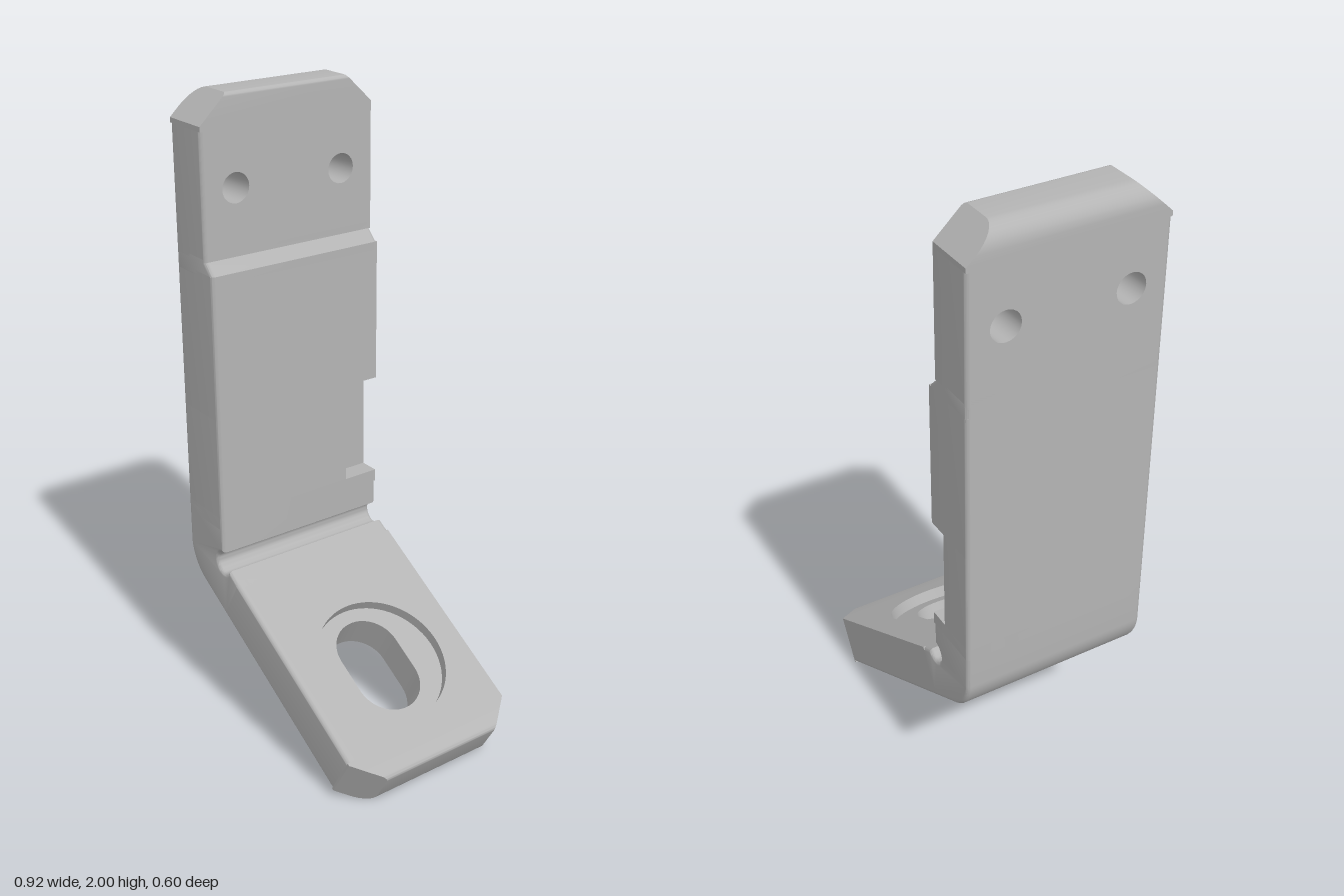
import * as THREE from 'three';
import { toCreasedNormals } from 'three/addons/utils/BufferGeometryUtils.js';
import { ConvexGeometry } from 'three/addons/geometries/ConvexGeometry.js';

const HALF = 0.3;                       // half width of the bracket
const R = 0.012;                        // small edge rounding
const BACK = -0.46, FRONT = -0.265, THIN = -0.3;   // upright faces (x)
const UNDER = 0.182, TOP = 0.34, END = 0.343;      // foot faces in its tilted frame
const TILT = -Math.PI / 6;

// Closed outline; the third value of a point is its rounding length
function outline(pts) {
  const s = new THREE.Shape();
  const n = pts.length;
  pts.forEach(([x, y, r = 0], i) => {
    const toward = ([px, py], d) => {
      const l = Math.hypot(px - x, py - y);
      return [x + (px - x) * d / l, y + (py - y) * d / l];
    };
    const prev = pts[(i + n - 1) % n], next = pts[(i + 1) % n];
    const a = toward(prev, r), b = toward(next, r);
    if (i === 0) s.moveTo(...a); else s.lineTo(...a);
    if (r) s.bezierCurveTo(...toward(prev, r * 0.45), ...toward(next, r * 0.45), ...b);
  });
  s.closePath();
  return s;
}

const extrude = (shape, depth, extra = {}) => new THREE.ExtrudeGeometry(shape,
  { depth, bevelEnabled: false, curveSegments: 12, ...extra });

// Side profile swept across the full width with rounded rims
const across = (shape) => extrude(shape, 2 * (HALF - R), {
  bevelEnabled: true, bevelThickness: R, bevelSize: R, bevelOffset: -R, bevelSegments: 4,
}).translate(0, 0, -HALF + R);

// Outline in (x, -z) swept along y
const upward = (shape, y0, y1) => extrude(shape, y1 - y0).rotateX(-Math.PI / 2).translate(0, y0, 0);

// Outline in (-z, y) swept along x
const sideways = (shape, x0, x1) => extrude(shape, x1 - x0).rotateY(Math.PI / 2).translate(x0, 0, 0);

const rect = (a0, b0, a1, b1) => outline([[a0, b0], [a1, b0], [a1, b1], [a0, b1]]);

function circle(x, y, r) {
  const p = new THREE.Path();
  p.absarc(x, y, r, 0, Math.PI * 2, true);
  return p;
}

// End block with clipped corners; axis is the direction it points in
function clippedEnd(pts, axis, end, kinks) {
  const profile = outline(pts).getPoints(8).map((p) => [p.x, p.y]).concat(kinks);
  const points = [];
  for (const p of profile) {
    const w = Math.min(HALF, 0.21 + (end - p[axis]) * (0.09 / 0.085));
    points.push(new THREE.Vector3(p[0], p[1], w), new THREE.Vector3(p[0], p[1], -w));
  }
  return new ConvexGeometry(points);
}

export function createModel() {
  const steel = new THREE.MeshStandardMaterial({ color: 0xb4b4b4 });
  steel.name = 'plain grey metal';
  const model = new THREE.Group();
  model.name = 'angledBracket';
  const foot = new THREE.Group();
  foot.name = 'foot';
  foot.rotation.z = TILT;
  model.add(foot);

  const add = (parent, name, geometry) => {
    const mesh = new THREE.Mesh(toCreasedNormals(geometry, 0.5), steel);
    mesh.name = name;
    parent.add(mesh);
  };
  const c = Math.cos(TILT), s = Math.sin(TILT);
  const fromFoot = (u, v) => [u * c - v * s, u * s + v * c];

  // Bend with the round relief groove in its inner corner
  const cornerY = (TOP - 0.5 * FRONT) / c;
  const outerY = (UNDER - 0.5 * BACK) / c;
  const groove = [];
  for (let i = 0; i <= 20; i++) {
    const a = Math.PI / 2 + (i / 20) * Math.PI * 4 / 3;
    groove.push([FRONT + 0.035 * Math.cos(a), cornerY + 0.035 * Math.sin(a)]);
  }
  add(model, 'bend', across(outline([
    [BACK, 0.7], [BACK, outerY, 0.08], fromFoot(-0.4, UNDER), fromFoot(-0.4, TOP),
    ...groove.reverse(), [FRONT, 0.7],
  ])));

  // Upright: solid section, and the section with the side notch
  const section = [[BACK, -HALF, R], [FRONT, -HALF, R], [FRONT, HALF], [BACK, HALF, R]];
  add(model, 'uprightBody', upward(outline(section), 1.03, 1.485));
  add(model, 'uprightBase', upward(outline(section), 0.66, 0.7));
  add(model, 'notchedBody', upward(outline([
    [BACK, -HALF, R], [FRONT, -HALF, R], [FRONT, 0.18], [-0.33, 0.18], [-0.33, HALF], [BACK, HALF, R],
  ]), 0.7, 1.03));

  // Sloped step to the thinner top
  add(model, 'step', across(outline([
    [BACK, 1.46], [FRONT, 1.46], [FRONT, 1.485], [THIN, 1.52], [THIN, 1.54], [BACK, 1.54],
  ])));

  // Thin top plate with two screw holes
  const plate = rect(-0.26, 1.52, 0.26, 1.9);
  for (const side of [-1, 1]) plate.holes.push(circle(side * 0.187, 1.725, 0.046));
  add(model, 'screwPlate', sideways(plate, BACK, THIN));
  for (const side of [-1, 1]) {
    add(model, 'screwPlateEdge', upward(outline([
      [BACK, side * 0.26], [THIN, side * 0.26], [THIN, side * HALF, side < 0 ? R : 0], [BACK, side * HALF, R],
    ]), 1.52, 1.9));
  }
  add(model, 'topEnd', clippedEnd(
    [[BACK, 1.9], [THIN, 1.9], [THIN, 2, R], [BACK, 2, 0.06]], 1, 2,
    [[BACK, 1.915], [THIN, 1.915]]));

  // Foot: lower layer with the slot, upper layer with the round recess
  const lower = rect(-0.41, -0.26, 0.25, 0.26);
  const slot = new THREE.Path();
  slot.absarc(0.047, 0, 0.107, -Math.PI / 2, Math.PI / 2, false);
  slot.absarc(-0.065, 0, 0.107, Math.PI / 2, Math.PI * 1.5, false);
  slot.closePath();
  lower.holes.push(slot);
  add(foot, 'slottedPlate', upward(lower, UNDER, 0.304));
  const upper = rect(-0.41, -0.26, 0.25, 0.26);
  upper.holes.push(circle(-0.006, 0, 0.21));
  add(foot, 'recessedPlate', extrude(upper, TOP - 0.304, { curveSegments: 32 })
    .rotateX(-Math.PI / 2).translate(0, 0.304, 0));
  for (const side of [-1, 1]) {
    add(foot, 'footEdge', sideways(outline([
      [side * 0.26, UNDER], [side * HALF, UNDER, R], [side * HALF, TOP, side < 0 ? R : 0], [side * 0.26, TOP],
    ]), -0.42, 0.25));
  }
  add(foot, 'footEnd', clippedEnd(
    [[0.25, UNDER], [END, UNDER, 0.05], [END, TOP, 0.015], [0.25, TOP]], 0, END,
    [[0.258, UNDER], [0.258, TOP]]));

  return model;
}
